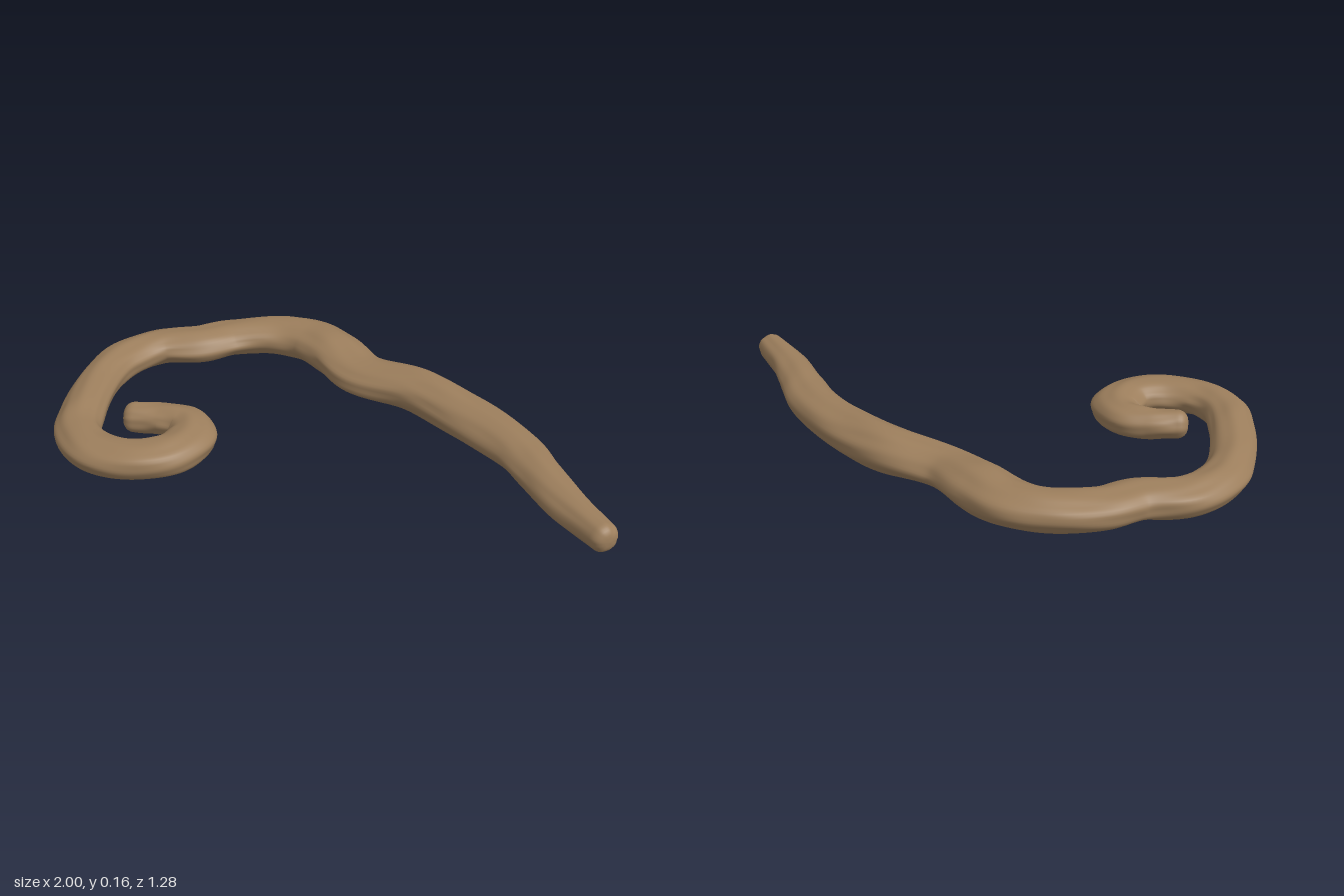
import * as THREE from 'three';

// Stations along the branch: x, z, half width, centre height, half height
const STATIONS = [
  [0.95, 0.59, 0.052, 0.09, 0.052], [0.83, 0.435, 0.07, 0.092, 0.054],
  [0.735, 0.27, 0.082, 0.094, 0.056], [0.655, 0.135, 0.09, 0.092, 0.06],
  [0.475, -0.055, 0.102, 0.087, 0.07], [0.27, -0.215, 0.102, 0.096, 0.075],
  [0.05, -0.305, 0.108, 0.092, 0.062], [-0.08, -0.435, 0.11, 0.104, 0.073],
  [-0.2, -0.525, 0.105, 0.104, 0.07], [-0.345, -0.545, 0.098, 0.102, 0.065],
  [-0.5, -0.5, 0.094, 0.1, 0.062], [-0.61, -0.425, 0.094, 0.1, 0.062],
  [-0.765, -0.38, 0.088, 0.1, 0.06], [-0.87, -0.26, 0.086, 0.1, 0.06],
  [-0.91, -0.11, 0.081, 0.1, 0.06], [-0.905, 0.14, 0.081, 0.101, 0.061],
  [-0.875, 0.29, 0.085, 0.1, 0.06], [-0.785, 0.385, 0.09, 0.098, 0.06],
  [-0.645, 0.408, 0.092, 0.098, 0.06], [-0.53, 0.36, 0.091, 0.098, 0.06],
  [-0.48, 0.25, 0.09, 0.098, 0.06], [-0.52, 0.162, 0.076, 0.1, 0.058],
  [-0.61, 0.14, 0.064, 0.1, 0.056], [-0.71, 0.146, 0.055, 0.1, 0.053],
];

const STEPS = 300, SIDES = 48, CAP = 8;

// Bark relief: wandering lengthwise ridges plus shallow lumps
function bark(a, s) {
  const drift = 0.6 * Math.sin(s * 17) + 0.35 * Math.sin(s * 41 + 1);
  const ridges = 0.022 * Math.sin(5 * a + 2 * drift) + 0.014 * Math.sin(9 * a - 3 * drift + s * 8);
  const lumps = 0.02 * Math.sin(2 * a + s * 60) + 0.012 * Math.sin(3 * a - s * 110);
  const groove = -0.035 * Math.pow(Math.max(0, Math.cos(a - 0.4 + 0.25 * drift)), 60);
  return 1 + ridges + lumps + groove;
}

function branchGeometry() {
  const path = new THREE.CatmullRomCurve3(STATIONS.map(([x, z, , y]) => new THREE.Vector3(x, y, z)));
  const sizes = new THREE.CatmullRomCurve3(STATIONS.map(([, , w, , h], i) => new THREE.Vector3(w, h, i * 0.1)));

  // Rings: position on the path, cross-section scale, push beyond the end
  const rings = [];
  for (let i = 0; i < CAP; i++) {
    const q = (i / CAP) * Math.PI / 2;
    rings.push([0, Math.pow(Math.sin(q), 0.7), -0.042 * Math.cos(q)]);
  }
  for (let i = 0; i <= STEPS; i++) rings.push([i / STEPS, 1, 0]);
  for (let i = CAP - 1; i >= 0; i--) {
    const q = (i / CAP) * Math.PI / 2;
    rings.push([1, Math.pow(Math.sin(q), 0.7), 0.042 * Math.cos(q)]);
  }

  const positions = [], index = [];
  const up = new THREE.Vector3(0, 1, 0);
  rings.forEach(([t, scale, push], i) => {
    const tangent = path.getTangent(t).setY(0).normalize();
    const side = new THREE.Vector3().crossVectors(up, tangent);
    const centre = path.getPoint(t).addScaledVector(tangent, push);
    const size = sizes.getPoint(t);
    for (let j = 0; j < SIDES; j++) {
      const a = (j / SIDES) * Math.PI * 2;
      const k = scale * bark(a, t);
      const p = centre.clone()
        .addScaledVector(side, Math.cos(a) * size.x * k)
        .addScaledVector(up, Math.sin(a) * size.y * k);
      positions.push(p.x, p.y, p.z);
      if (i < rings.length - 1) {
        const n = (j + 1) % SIDES, r = i * SIDES, s = r + SIDES;
        index.push(r + j, r + n, s + j, r + n, s + n, s + j);
      }
    }
  });

  const geometry = new THREE.BufferGeometry();
  geometry.setAttribute('position', new THREE.Float32BufferAttribute(positions, 3));
  geometry.setIndex(index);
  geometry.computeVertexNormals();
  return geometry;
}

export function createModel() {
  const wood = new THREE.MeshStandardMaterial({ color: 0x9c7e5c });
  wood.name = 'brown wood';
  const group = new THREE.Group();
  group.name = 'curledBranch';
  const branch = new THREE.Mesh(branchGeometry(), wood);
  branch.name = 'branch';
  group.add(branch);
  return group;
}
